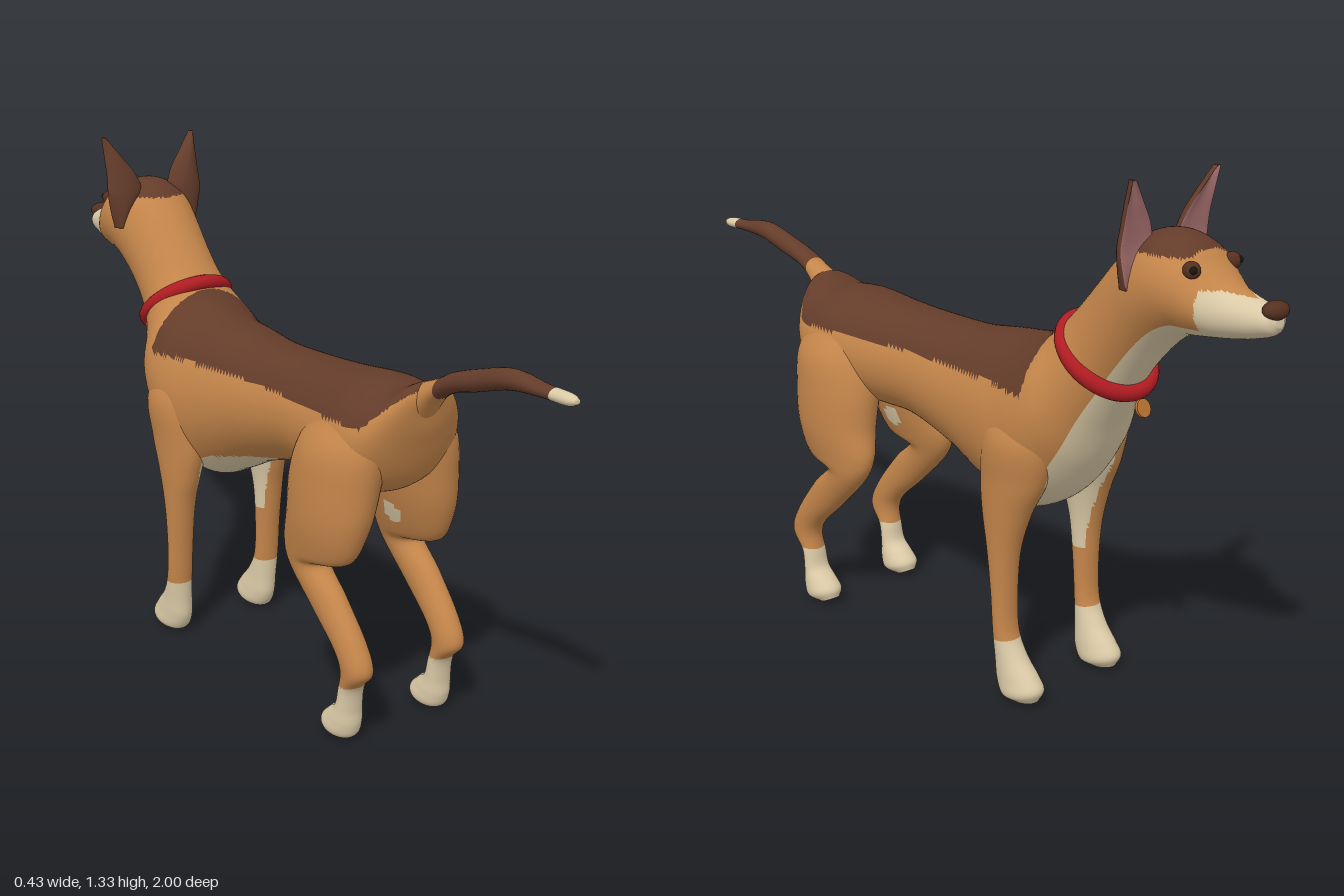
import * as THREE from 'three';

const mat = (name, color) => {
  const m = new THREE.MeshStandardMaterial({ color });
  m.name = name;
  return m;
};
const MATS = [
  mat('tanCoat', 0xc4854a), mat('brownCoat', 0x643c2a), mat('creamCoat', 0xdac9a6),
  mat('earPink', 0xa87070), mat('collarRed', 0xb01c22), mat('noseBrown', 0x54301f),
  mat('tagBronze', 0xbc7434), mat('pupilDark', 0x1c1412),
];
const [TAN, BROWN, CREAM, PINK, RED, NOSE, TAG, PUPIL] = MATS.keys();

// Smooth loft. Each section: [zA, yA, zB, yB, halfWidth, xCentre]; A and B are opposite
// ends of the ring in the side plane. paint(x, y, z, s) picks a colour, s = +1 at A, -1 at B.
function loft(name, sections, paint, { side = 1, steps = 8, around = 40, curl = 0 } = {}) {
  const curve = f => new THREE.CatmullRomCurve3(sections.map(f), false, 'catmullrom', 0.5);
  const A = curve(s => new THREE.Vector3(s[5] || 0, s[1], s[0]));
  const B = curve(s => new THREE.Vector3(s[5] || 0, s[3], s[2]));
  const W = curve((s, i) => new THREE.Vector3(s[4], i, 0));
  const rows = (sections.length - 1) * steps;
  const pos = [], sines = [], tris = [];
  for (let i = 0; i <= rows; i++) {
    const t = i / rows, a = A.getPoint(t), b = B.getPoint(t), w = W.getPoint(t).x;
    const mid = a.clone().add(b).multiplyScalar(0.5), half = a.clone().sub(mid);
    for (let j = 0; j < around; j++) {
      const th = j / around * Math.PI * 2, c = Math.cos(th), s = Math.sin(th);
      pos.push(side * (mid.x + w * c), mid.y + half.y * s, mid.z + half.z * s + curl * c * c);
      sines.push(s);
    }
  }
  for (let i = 0; i < rows; i++) for (let j = 0; j < around; j++) {
    const k = (j + 1) % around, p = i * around, q = p + around;
    tris.push([p + j, q + j, p + k], [p + k, q + j, q + k]);
  }
  // end caps
  for (let j = 1; j < around - 1; j++) {
    const e = rows * around;
    tris.push([0, j, j + 1], [e, e + j + 1, e + j]);
  }
  // make the faces point outward
  const v = i => new THREE.Vector3().fromArray(pos, i * 3);
  const volume = tris.reduce((sum, [a, b, c]) => sum + v(a).dot(v(b).cross(v(c))), 0);
  const byColour = MATS.map(() => []);
  for (const [a, b, c] of tris) {
    const m = v(a).add(v(b)).add(v(c)).divideScalar(3);
    const id = paint(Math.abs(m.x), m.y, m.z, (sines[a] + sines[b] + sines[c]) / 3);
    byColour[id].push(...(volume > 0 ? [a, b, c] : [a, c, b]));
  }
  const g = new THREE.BufferGeometry();
  g.setAttribute('position', new THREE.Float32BufferAttribute(pos, 3));
  g.setIndex(byColour.flat());
  let start = 0;
  byColour.forEach((list, id) => {
    if (list.length) g.addGroup(start, list.length, id);
    start += list.length;
  });
  g.computeVertexNormals();
  const mesh = new THREE.Mesh(g, MATS);
  mesh.name = name;
  return mesh;
}

function ball(name, id, [x, y, z], [rx, ry, rz]) {
  const m = new THREE.Mesh(new THREE.SphereGeometry(1, 24, 16), MATS[id]);
  m.name = name;
  m.position.set(x, y, z);
  m.scale.set(rx, ry, rz);
  return m;
}

// rump, back, chest, neck, head and muzzle: A is the top line, B the underside
const BODY = [
  [.545, .89, .535, .84, .03], [.52, .905, .515, .76, .09], [.46, .885, .46, .64, .15],
  [.36, .89, .36, .60, .165], [.22, .88, .20, .60, .15], [.08, .875, .08, .595, .14],
  [-.08, .875, -.08, .55, .15], [-.20, .89, -.20, .495, .165], [-.29, .90, -.30, .46, .182],
  [-.35, .915, -.41, .51, .19], [-.39, .935, -.485, .61, .18], [-.42, .965, -.535, .72, .145],
  [-.46, 1.01, -.58, .80, .12], [-.51, 1.07, -.62, .86, .112], [-.57, 1.14, -.67, .92, .114],
  [-.63, 1.195, -.72, .965, .12], [-.70, 1.217, -.765, .99, .12], [-.77, 1.20, -.80, .995, .11],
  [-.82, 1.155, -.84, 1.0, .09], [-.87, 1.12, -.88, 1.005, .065], [-.93, 1.10, -.93, 1.015, .048],
  [-.97, 1.09, -.975, 1.03, .036], [-.985, 1.075, -.99, 1.05, .015],
];
function paintBody(x, y, z, s) {
  if (z < -.83 && y < 1.112 && !(s > .3 && x < (z + .93) * .6)) return CREAM;      // muzzle
  if (z < .04 && s < -.72 - .25 * Math.max(0, (z + .2) / .25)) return CREAM;       // throat to belly
  if (y > 1.172 && z > -.79 && z < -.58) return BROWN;                             // cap
  const edge = .80 + Math.max(0, z - .46) * 1.2;
  if (y > edge && z > -.405 && z < .54 && y < .97) return BROWN;                   // saddle
  return TAN;
}

// front line first, rear line second
const FORELEG = [
  [-.42, .78, -.30, .78, .04, .11], [-.455, .68, -.26, .68, .075, .125],
  [-.44, .58, -.25, .56, .066, .13], [-.40, .49, -.265, .47, .052, .14],
  [-.37, .39, -.285, .39, .042, .145], [-.36, .28, -.30, .28, .037, .145],
  [-.365, .18, -.308, .18, .036, .145], [-.395, .12, -.312, .10, .038, .142],
  [-.435, .075, -.315, .05, .043, .14], [-.453, .045, -.335, .012, .045, .14],
  [-.44, .015, -.37, .004, .025, .14],
];
const HINDLEG = [
  [.26, .80, .46, .80, .05, .10], [.22, .73, .48, .73, .088, .108], [.20, .65, .475, .64, .09, .12],
  [.197, .55, .46, .54, .08, .132], [.185, .47, .42, .455, .06, .14],
  [.215, .405, .335, .43, .045, .145], [.31, .31, .40, .365, .039, .145],
  [.39, .24, .475, .27, .038, .143], [.415, .195, .505, .20, .037, .142],
  [.41, .14, .465, .15, .035, .14], [.40, .10, .455, .09, .037, .14],
  [.37, .075, .455, .045, .043, .14], [.345, .05, .44, .012, .045, .14],
  [.345, .025, .39, .004, .025, .14],
];
const paintForeleg = (x, y) => y < .16 || (x < .118 && y > .32 && y < .6) ? CREAM : TAN;
const paintHindleg = (x, y, z) =>
  y < .155 || (x < .1 && Math.hypot(y - .52, z - .33) < .03) ? CREAM : TAN;

const TAIL = [
  [.46, .88, .47, .76, .05], [.52, .905, .515, .80, .045], [.57, .925, .565, .865, .035],
  [.62, .95, .62, .90, .03], [.70, .975, .70, .922, .029], [.80, .998, .80, .95, .028],
  [.90, .988, .90, .958, .022], [.97, .985, .97, .957, .018], [.995, .977, .995, .965, .008],
];
const paintTail = (x, y, z) => z > .93 ? CREAM : z > .58 ? BROWN : TAN;

// rear face first, inner face second
const EAR = [
  [-.645, 1.09, -.67, 1.09, .012, .115], [-.638, 1.13, -.672, 1.13, .03, .108],
  [-.636, 1.18, -.67, 1.18, .052, .095], [-.645, 1.23, -.675, 1.23, .045, .10],
  [-.66, 1.28, -.683, 1.28, .027, .118], [-.683, 1.335, -.69, 1.335, .005, .139],
];
const paintEar = (x, y, z, s) => s < -.3 ? PINK : BROWN;

export function createModel() {
  const dog = new THREE.Group();
  dog.name = 'dog';
  dog.add(loft('body', BODY, paintBody, { steps: 10, around: 72 }));
  dog.add(loft('tail', TAIL, paintTail, { around: 24 }));
  for (const side of [1, -1]) {
    dog.add(loft('foreleg', FORELEG, paintForeleg, { side }));
    dog.add(loft('hindLeg', HINDLEG, paintHindleg, { side }));
    dog.add(loft('ear', EAR, paintEar, { side, curl: -.014 }));
    dog.add(ball('eye', NOSE, [side * .068, 1.15, -.803], [.02, .02, .02]));
    dog.add(ball('pupil', PUPIL, [side * .077, 1.153, -.815], [.009, .009, .009]));
  }
  dog.add(ball('nose', NOSE, [0, 1.085, -.974], [.034, .021, .026]));

  // collar with a hanging tag
  const collar = new THREE.Mesh(new THREE.TorusGeometry(.114, .021, 16, 56), MATS[RED]);
  collar.name = 'collar';
  collar.position.set(0, .892, -.512);
  collar.rotation.x = .896;
  dog.add(collar);
  const tag = new THREE.Mesh(new THREE.CylinderGeometry(.022, .022, .007, 24), MATS[TAG]);
  tag.name = 'tag';
  tag.position.set(0, .787, -.626);
  tag.rotation.x = -1.19;
  dog.add(tag);
  return dog;
}
